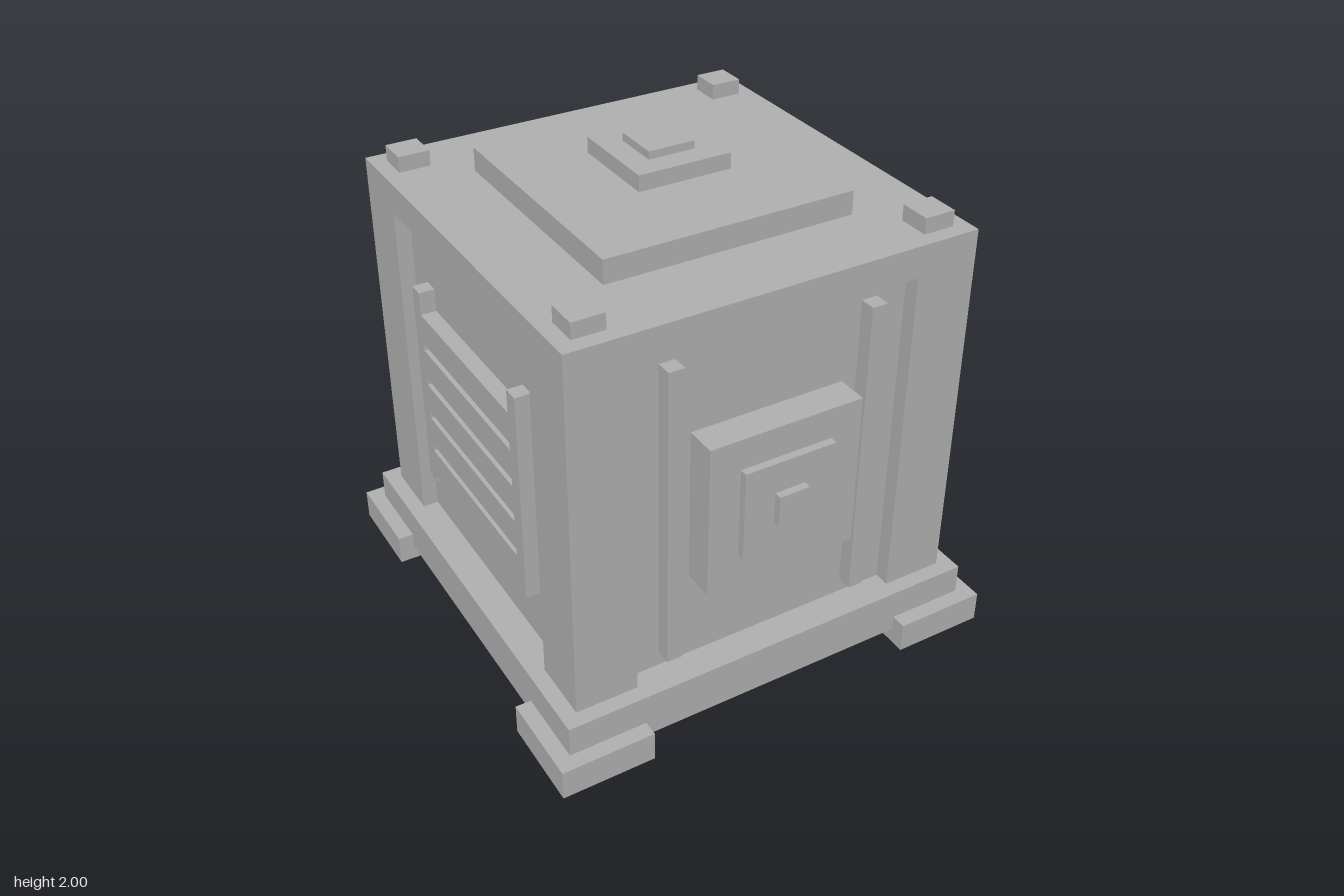
import * as THREE from 'three';

const U = 2 / 31.5; // modelling grid step

export function createModel() {
  const model = new THREE.Group();
  const grey = new THREE.MeshStandardMaterial({ color: 0xb0b0b0 });
  grey.name = 'grey';

  // Box given by its min and max along each axis, in grid steps
  function box(name, x0, x1, y0, y1, z0, z1, parent = model) {
    const geo = new THREE.BoxGeometry((x1 - x0) * U, (y1 - y0) * U, (z1 - z0) * U);
    const mesh = new THREE.Mesh(geo, grey);
    mesh.position.set((x0 + x1) / 2 * U, (y0 + y1) / 2 * U, (z0 + z1) / 2 * U);
    mesh.name = name;
    parent.add(mesh);
    return mesh;
  }
  // Square slab centred on the vertical axis
  const slab = (name, r, y0, y1) => box(name, -r, r, y0, y1, -r, r);
  // Group whose local +z is turned to one side of the cabinet
  function side(name, angle) {
    const g = new THREE.Group();
    g.name = name;
    g.rotation.y = angle;
    model.add(g);
    return g;
  }

  // Base, recessed core and lid
  slab('base', 14, 1, 4);
  slab('core', 12, 4, 26);
  slab('lid', 13, 26, 28);

  // Feet, corner posts and roof studs at the four corners
  for (const sx of [-1, 1]) {
    for (const sz of [-1, 1]) {
      const corner = (name, a, b, y0, y1) => {
        const xs = [sx * a, sx * b].sort((p, q) => p - q);
        const zs = [sz * a, sz * b].sort((p, q) => p - q);
        box(name, xs[0], xs[1], y0, y1, zs[0], zs[1]);
      };
      corner('foot', 9, 15, 0, 2);
      corner('cornerPost', 9, 13, 4, 26);
      corner('roofStud', 10, 12, 28, 29);
    }
  }

  // Stepped roof with a raised cap
  slab('roofPlate', 8, 28, 29.5);
  slab('capPlate', 3, 30, 31);
  slab('capButton', 1.5, 31, 31.5);

  // Front: two upright rails and a stepped emblem plate
  const front = side('front', 0);
  box('leftRail', 6, 7, 5, 25, 12, 13, front);
  box('rightRail', -7, -6, 5, 25, 12, 13, front);
  box('frontPlate', -5, 5, 10, 20, 12, 14, front);
  box('frontPlateStep', -3, 3, 12, 18, 14, 14.5, front);
  box('frontButton', -1, 1, 14, 16, 14.5, 15, front);

  // Vent grilles on both sides
  for (const s of [-1, 1]) {
    const vent = side(s > 0 ? 'leftVent' : 'rightVent', s * Math.PI / 2);
    box('ventPost', -7, -6, 8, 22, 12, 13, vent);
    box('ventPost', 6, 7, 8, 22, 12, 13, vent);
    for (let i = 0; i < 5; i++) {
      const y = 8.5 + i * 2.5;
      box('ventSlat', -6, 6, y, y + 2, 12, 13, vent);
    }
  }

  // Back: framed screen, buttons, card reader and drawer
  const back = side('back', Math.PI);
  const rect = (Type, x, y0, y1) => {
    const p = new Type();
    p.moveTo(-x * U, y0 * U);
    p.lineTo(x * U, y0 * U);
    p.lineTo(x * U, y1 * U);
    p.lineTo(-x * U, y1 * U);
    p.closePath();
    return p;
  };
  const frameShape = rect(THREE.Shape, 9, 15, 24);
  frameShape.holes.push(rect(THREE.Path, 7.5, 16.5, 22.5));
  const frame = new THREE.Mesh(
    new THREE.ExtrudeGeometry(frameShape, { depth: 1.5 * U, bevelEnabled: false }), grey);
  frame.position.z = 12 * U;
  frame.name = 'screenFrame';
  back.add(frame);

  for (let i = 0; i < 3; i++) {
    const x = -7.5 + i * 2.5;
    box('button', x, x + 1.5, 11, 12.5, 12, 13, back);
  }
  box('cardReader', 2, 8, 11, 13, 12, 13, back);
  box('cardSlot', 3, 7, 11.75, 12.25, 13, 13.04, back);
  box('drawer', -9, 9, 5, 9, 12, 14, back);
  box('drawerPanel', -7, 7, 6, 8, 14, 14.04, back);

  return model;
}
